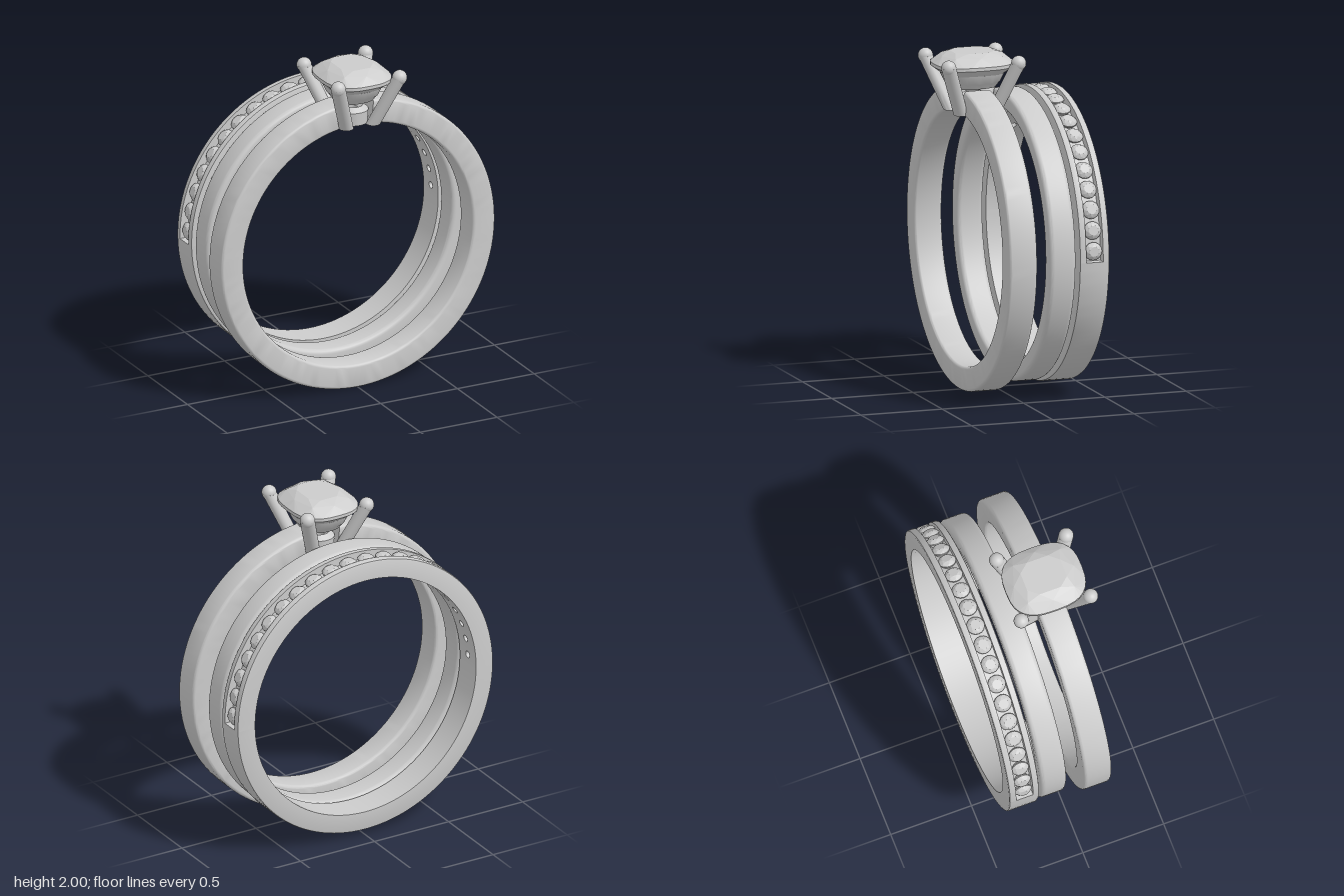
import * as THREE from 'three';
import { toCreasedNormals, mergeGeometries } from 'three/addons/utils/BufferGeometryUtils.js';
import { ConvexGeometry } from 'three/addons/geometries/ConvexGeometry.js';

const CY = 0.893;      // height of the ring axis
const INNER = 0.746;   // finger radius
const HEAD_Z = 0.137;  // centre of the solitaire head
const metal = new THREE.MeshStandardMaterial({ color: 0xcccccc });
const thin = new THREE.MeshStandardMaterial({ color: 0xcccccc, side: THREE.DoubleSide });
const stone = new THREE.MeshStandardMaterial({ color: 0xcccccc, flatShading: true });

function add(parent, name, geometry, material = metal) {
  const mesh = new THREE.Mesh(geometry, material);
  mesh.name = name;
  parent.add(mesh);
  return mesh;
}

// Counterclockwise rounded cross-section in (radius, z)
function roundedProfile(r0, r1, z0, z1, f) {
  const pts = [];
  const corners = [[r1 - f, z0 + f, -0.5], [r1 - f, z1 - f, 0], [r0 + f, z1 - f, 0.5], [r0 + f, z0 + f, 1]];
  for (const [r, z, start] of corners) {
    for (let i = 0; i <= 5; i++) {
      const a = Math.PI * (start + i / 10);
      pts.push(new THREE.Vector2(r + f * Math.cos(a), z + f * Math.sin(a)));
    }
  }
  return pts;
}

// Sweep a cross-section around the finger; angle 0 is the bottom, PI the top
function band(profile, start = 0, length = Math.PI * 2, closed = true) {
  const pts = closed ? [...profile, profile[0].clone()] : profile;
  const segments = Math.ceil(length / (Math.PI * 2) * 128);
  const parts = [new THREE.LatheGeometry(pts, segments, start, length).rotateX(Math.PI / 2)];
  if (length < Math.PI * 2) {
    for (const a of [start, start + length]) {
      parts.push(new THREE.ShapeGeometry(new THREE.Shape(profile)).rotateX(Math.PI / 2).rotateZ(a - Math.PI / 2));
    }
  }
  return toCreasedNormals(mergeGeometries(parts), 0.6);
}

// Cushion outline: a superellipse point on the unit square
function cushion(a, p = 2.8) {
  const c = Math.cos(a), s = Math.sin(a);
  return [Math.sign(c) * Math.abs(c) ** (2 / p), Math.sign(s) * Math.abs(s) ** (2 / p)];
}

// Faceted stone from rows of [y, half width, half depth, count, turn]
function cutStone(rows, power) {
  const pts = [];
  for (const [y, rx, rz, n, turn] of rows) {
    for (let i = 0; i < n; i++) {
      const [x, z] = cushion((i + turn) / n * Math.PI * 2, power);
      pts.push(new THREE.Vector3(x * rx, y, z * rz));
    }
  }
  return new ConvexGeometry(pts);
}

// Cushion-shaped gallery rail from a closed (radius, y) profile
function rail(profile, power) {
  const pts = [...profile, profile[0]].map(([r, y]) => new THREE.Vector2(r, y));
  const g = new THREE.LatheGeometry(pts, 48);
  const pos = g.attributes.position;
  for (let i = 0; i < pos.count; i++) {
    const x = pos.getX(i), z = pos.getZ(i), r = Math.hypot(x, z);
    const [cx, cz] = cushion(Math.atan2(z, x), power);
    pos.setXYZ(i, cx * r, pos.getY(i), cz * r * 1.15);
  }
  return toCreasedNormals(g, 0.6);
}

// Leaning prong with a level foot and a ball tip
function prong(sx, sz) {
  const g = new THREE.CylinderGeometry(0.044, 0.042, 1, 24, 6);
  const pos = g.attributes.position;
  for (let i = 0; i < pos.count; i++) {
    const t = pos.getY(i) + 0.5;
    pos.setXYZ(i, pos.getX(i) + sx * (0.088 + 0.112 * t), 1.64 + 0.305 * t, pos.getZ(i) + sz * (0.1 + 0.115 * t));
  }
  const tip = new THREE.SphereGeometry(0.044, 24, 16).translate(sx * 0.2, 1.947, sz * 0.215);
  return mergeGeometries([toCreasedNormals(g, 0.6), tip.toNonIndexed()]);
}

// Inner wall of one pavé cell, pierced and bent to the finger radius
function piercedCell(angle, step, z0, z1, zc) {
  const w = step * INNER / 2, s = new THREE.Shape();
  s.moveTo(-w, z0);
  for (let i = 1; i <= 4; i++) s.lineTo(-w + w * i / 2, z0);
  for (let i = 0; i <= 4; i++) s.lineTo(w - w * i / 2, z1);
  const hole = new THREE.Path();
  hole.absarc(0, zc, 0.021, 0, Math.PI * 2, true);
  s.holes.push(hole);
  const g = new THREE.ShapeGeometry(s, 10);
  const pos = g.attributes.position, nor = g.attributes.normal;
  for (let i = 0; i < pos.count; i++) {
    const a = angle - pos.getX(i) / INNER;
    pos.setXYZ(i, INNER * Math.sin(a), -INNER * Math.cos(a), pos.getY(i));
    nor.setXYZ(i, -Math.sin(a), Math.cos(a), 0);
  }
  return g;
}

function solitaire() {
  const ring = new THREE.Group();
  ring.name = 'solitaireRing';
  // Shank, open at the top where the head sits
  const shank = add(ring, 'solitaireShank',
    band(roundedProfile(INNER, 0.892, 0.053, 0.223, 0.02), Math.PI + 0.11, Math.PI * 2 - 0.22), thin);
  shank.position.y = CY;

  const head = new THREE.Group();
  head.name = 'head';
  head.position.z = HEAD_Z;
  ring.add(head);
  for (const sx of [-1, 1]) for (const sz of [-1, 1]) add(head, 'prong', prong(sx, sz));
  add(head, 'upperGallery', rail([[0.115, 1.79], [0.135, 1.82], [0.14, 1.825], [0.16, 1.875], [0.135, 1.875], [0.08, 1.79]], 2.6));
  add(head, 'lowerGallery', rail([[0.085, 1.64], [0.09, 1.72], [0.06, 1.745], [0.035, 1.72], [0.035, 1.64]], 2.2));
  add(head, 'centreStone', cutStone([
    [2.0, 0.11, 0.13, 8, 0.5],
    [1.978, 0.158, 0.185, 8, 0],
    [1.935, 0.205, 0.235, 32, 0],
    [1.915, 0.205, 0.235, 32, 0],
    [1.84, 0.115, 0.135, 8, 0.5],
    [1.745, 0.012, 0.016, 4, 0],
  ], 2.8), stone);
  return ring;
}

function paveBand() {
  const ring = new THREE.Group();
  ring.name = 'paveRing';
  ring.position.y = CY + 0.004;
  const R = 0.863, z0 = -0.4, z1 = -0.217, zc = -0.308, half = 0.052, c = 0.012;
  const count = 22, step = 0.1444, span = count * step;
  const section = (groove) => [
    [INNER, z0], [R - c, z0], [R - c * 0.3, z0 + c * 0.3], [R, z0 + c],
    ...groove,
    [R, z1 - c], [R - c * 0.3, z1 - c * 0.3], [R - c, z1], [INNER, z1],
  ].map(([r, z]) => new THREE.Vector2(r, z));
  const floor = R - 0.05;
  const channel = [[R, zc - half], [floor, zc - half], [floor, zc + half], [R, zc + half]];

  // Plain lower half and channelled upper half
  add(ring, 'plainHalf', band(section([]), Math.PI + span / 2, Math.PI * 2 - span), thin);
  add(ring, 'channelHalf', band(section(channel), Math.PI - span / 2, span, false), thin);

  // Stones, their bores and the pierced inner wall
  const gem = cutStone([
    [R - 0.003, 0.03, 0.03, 8, 0.5],
    [R - 0.012, 0.043, 0.043, 8, 0],
    [R - 0.025, 0.053, 0.053, 16, 0],
    [R - 0.031, 0.053, 0.053, 16, 0],
    [R - 0.095, 0.004, 0.004, 8, 0],
  ], 2);
  const bore = new THREE.CylinderGeometry(0.021, 0.021, 0.07, 20, 1, true).translate(0, INNER + 0.034, 0);
  for (let i = 0; i < count; i++) {
    const tilt = (i - (count - 1) / 2) * step;
    for (const [name, geometry, material] of [['paveStone', gem, stone], ['stoneBore', bore, thin]]) {
      const m = add(ring, name, geometry, material);
      m.rotation.z = tilt;
      m.position.z = zc;
    }
    add(ring, 'innerWall', piercedCell(Math.PI + tilt, step, z0, z1, zc));
  }
  return ring;
}

export function createModel() {
  const model = new THREE.Group();
  model.name = 'ringSet';
  model.add(solitaire());
  // Plain middle band
  const plain = add(model, 'plainBand', band(roundedProfile(INNER, 0.853, -0.2, -0.04, 0.028)));
  plain.position.y = CY + 0.004;
  model.add(paveBand());
  return model;
}
